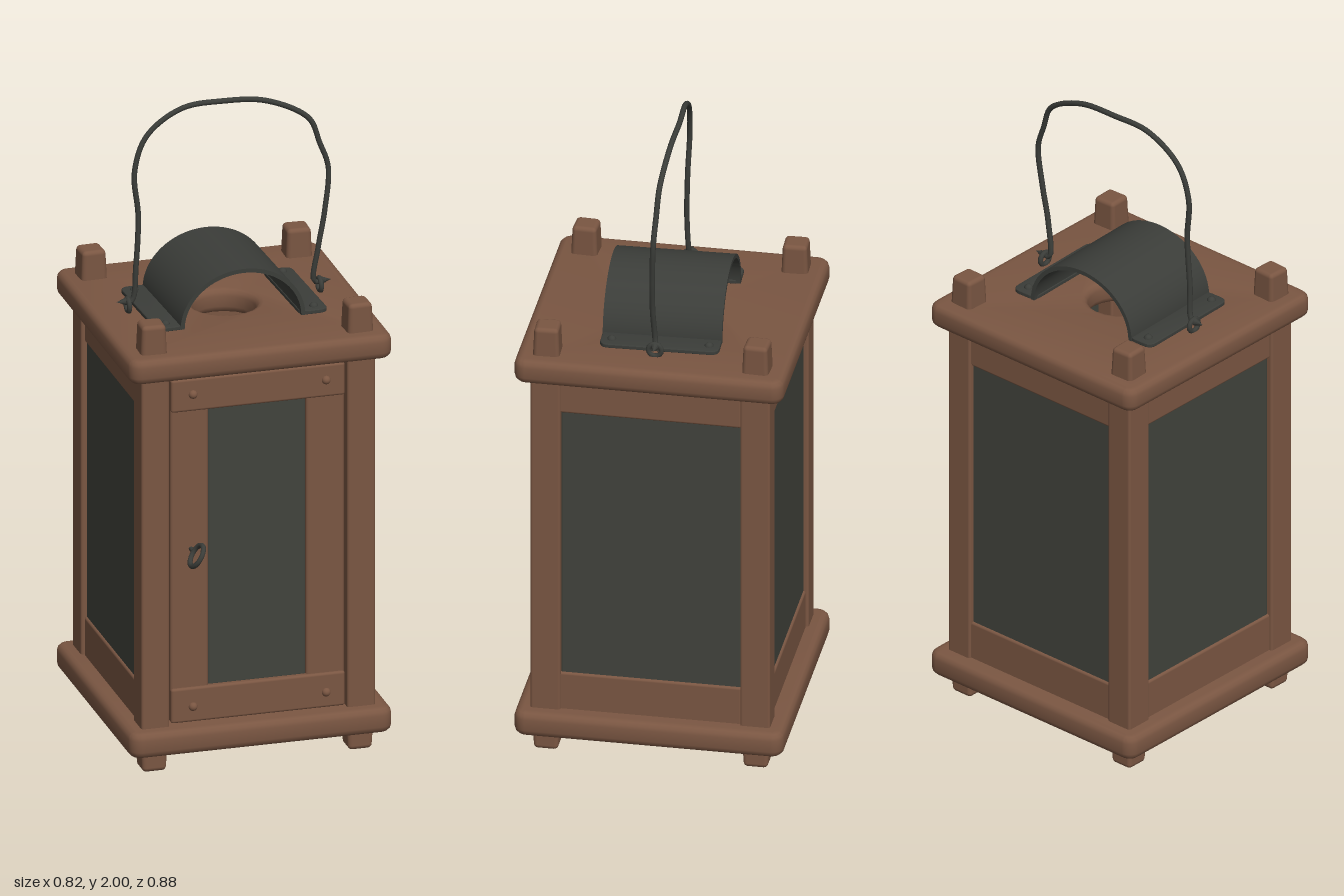
import * as THREE from 'three';
import { toCreasedNormals } from 'three/addons/utils/BufferGeometryUtils.js';
import { RoundedBoxGeometry } from 'three/addons/geometries/RoundedBoxGeometry.js';

const wood = new THREE.MeshStandardMaterial({ color: 0x7a5642 });
const glass = new THREE.MeshStandardMaterial({ color: 0x41433c });
const metal = new THREE.MeshStandardMaterial({ color: 0x3b3d39 });
wood.name = 'wood'; glass.name = 'dark glass'; metal.name = 'dark iron';

const CZ = -0.027; // centre of the lantern body in z

function add(parent, name, geometry, material, x = 0, y = 0, z = 0) {
  const mesh = new THREE.Mesh(geometry, material);
  mesh.name = name;
  mesh.position.set(x, y, z);
  parent.add(mesh);
  return mesh;
}

// Rounded box given by its limits
function block(parent, name, material, [x0, x1], [y0, y1], [z0, z1], r = 0.008) {
  const g = new RoundedBoxGeometry(x1 - x0, y1 - y0, z1 - z0, 2, r);
  return add(parent, name, g, material, (x0 + x1) / 2, (y0 + y1) / 2, (z0 + z1) / 2);
}

function roundedRect(w, h, r) {
  const s = new THREE.Shape(), x = w / 2, y = h / 2;
  s.moveTo(-x + r, -y);
  s.lineTo(x - r, -y); s.quadraticCurveTo(x, -y, x, -y + r);
  s.lineTo(x, y - r); s.quadraticCurveTo(x, y, x - r, y);
  s.lineTo(-x + r, y); s.quadraticCurveTo(-x, y, -x, y - r);
  s.lineTo(-x, -y + r); s.quadraticCurveTo(-x, -y, -x + r, -y);
  return s;
}

// Horizontal board with softened edges and an optional round hole
function board(w, thick, r, bevel, hole = 0) {
  const s = roundedRect(w[0] - 2 * bevel, w[1] - 2 * bevel, r);
  if (hole) s.holes.push(new THREE.Path().absarc(0, 0, hole, 0, Math.PI * 2, true));
  const g = new THREE.ExtrudeGeometry(s, {
    depth: thick - 2 * bevel, bevelEnabled: true, bevelSize: bevel,
    bevelThickness: bevel, bevelSegments: 3, curveSegments: 10,
  });
  g.translate(0, 0, -thick / 2 + bevel);
  g.rotateX(-Math.PI / 2);
  return toCreasedNormals(g, 0.7);
}

// Post end, narrowing away from the board (dir = 1 up, -1 down)
function pegGeometry(w, h, dir) {
  const g = new RoundedBoxGeometry(w, h, w, 2, 0.014);
  const p = g.attributes.position;
  for (let i = 0; i < p.count; i++) {
    const k = 0.94 - 0.12 * dir * p.getY(i) / h;
    p.setX(i, p.getX(i) * k);
    p.setZ(i, p.getZ(i) * k);
  }
  return g;
}

function rivet(parent, x, y, z, material, facingFront) {
  const g = new THREE.SphereGeometry(0.014, 12, 6, 0, Math.PI * 2, 0, Math.PI / 2);
  if (facingFront) g.rotateX(Math.PI / 2);
  add(parent, 'rivet', g, material, x, y, z);
}

function buildBody(root) {
  add(root, 'baseBoard', board([0.825, 0.825], 0.08, 0.02, 0.022), wood, 0, 0.105, CZ);
  add(root, 'topBoard', board([0.825, 0.825], 0.077, 0.02, 0.022, 0.12), wood, 0, 1.313, CZ);

  // Corner posts with their ends through both boards
  for (const sx of [-1, 1]) for (const sz of [-1, 1]) {
    const x = sx * 0.323, z = CZ + sz * 0.321;
    block(root, 'cornerPost', wood, [x - 0.044, x + 0.044], [0.13, 1.29], [z - 0.046, z + 0.046]);
    const top = add(root, 'postTop', pegGeometry(0.084, 0.12, 1), wood, x, 1.382, z);
    top.rotation.y = sx * sz * 0.04;
    add(root, 'postFoot', pegGeometry(0.084, 0.09, -1), wood, x, 0.045, z);
  }

  // Side walls
  for (const s of [-1, 1]) {
    const xs = s > 0 ? [0.325, 0.357] : [-0.357, -0.325];
    const xg = s > 0 ? [0.33, 0.35] : [-0.35, -0.33];
    block(root, 'sideLowerRail', wood, xs, [0.13, 0.268], [-0.305, 0.258]);
    block(root, 'sideUpperRail', wood, xs, [1.158, 1.285], [-0.305, 0.258]);
    block(root, 'sideGlass', glass, xg, [0.26, 1.165], [-0.305, 0.25]);
  }
  // Back wall
  block(root, 'backLowerRail', wood, [-0.285, 0.285], [0.13, 0.268], [-0.385, -0.35]);
  block(root, 'backUpperRail', wood, [-0.285, 0.285], [1.158, 1.285], [-0.385, -0.35]);
  block(root, 'backGlass', glass, [-0.285, 0.285], [0.26, 1.165], [-0.378, -0.358]);
}

function buildDoor(root) {
  const door = new THREE.Group();
  door.name = 'door';
  root.add(door);
  const z = [0.305, 0.338];
  block(door, 'doorStile', wood, [-0.276, -0.157], [0.155, 1.27], z);
  block(door, 'doorStile', wood, [0.15, 0.27], [0.155, 1.27], z);
  block(door, 'doorLowerRail', wood, [-0.276, 0.27], [0.155, 0.266], [0.31, 0.347]);
  block(door, 'doorUpperRail', wood, [-0.276, 0.27], [1.16, 1.265], [0.31, 0.347]);
  block(door, 'doorGlass', glass, [-0.158, 0.152], [0.26, 1.165], [0.312, 0.33]);
  for (const x of [-0.208, 0.21]) for (const y of [0.205, 1.215]) rivet(door, x, y, 0.346, wood, true);

  // Ring pull on a short pin
  const ring = add(door, 'ringPull', new THREE.TorusGeometry(0.035, 0.008, 8, 24), metal, -0.212, 0.713, 0.4);
  ring.rotation.order = 'ZYX';
  ring.rotation.set(0, Math.PI / 2, -0.55);
  const pin = new THREE.CylinderGeometry(0.007, 0.007, 0.04, 8).rotateX(Math.PI / 2);
  add(door, 'ringPin', pin, metal, -0.212, 0.713, 0.35);
}

function buildSmokeCover(root) {
  const cover = new THREE.Group();
  cover.name = 'smokeCover';
  cover.position.set(0, 1.351, CZ);
  cover.rotation.y = 0.033;
  root.add(cover);

  // Bent sheet arch
  const s = new THREE.Shape();
  s.absellipse(0, 0, 0.198, 0.173, 0, Math.PI, false);
  s.lineTo(-0.185, 0);
  s.absellipse(0, 0, 0.185, 0.16, Math.PI, 0, true);
  s.closePath();
  const g = new THREE.ExtrudeGeometry(s, { depth: 0.363, bevelEnabled: false, curveSegments: 24 });
  g.translate(0, 0, -0.1815);
  add(cover, 'archSheet', toCreasedNormals(g, 0.6), metal);

  // Flat flanges with rivets
  for (const sx of [-1, 1]) {
    add(cover, 'flange', board([0.09, 0.363], 0.013, 0.025, 0.003), metal, sx * 0.227, 0.006, 0);
    for (const sz of [-1, 1]) rivet(cover, sx * 0.235, 0.01, sz * 0.148, metal, false);
  }
}

function buildHandle(root) {
  const points = [
    [-0.318, 1.385, -0.03], [-0.29, 1.385, -0.028], [-0.278, 1.5, -0.022], [-0.27, 1.66, -0.025],
    [-0.28, 1.8, -0.03], [-0.24, 1.91, -0.036], [-0.13, 1.983, -0.044], [0, 1.991, -0.05],
    [0.14, 1.978, -0.046], [0.27, 1.91, -0.038], [0.302, 1.83, -0.034], [0.328, 1.75, -0.03],
    [0.315, 1.61, -0.024], [0.295, 1.5, -0.022], [0.284, 1.385, -0.028], [0.318, 1.385, -0.03],
  ].map((p) => new THREE.Vector3(...p));
  const wire = new THREE.CatmullRomCurve3(points, false, 'centripetal');
  add(root, 'carryHandle', new THREE.TubeGeometry(wire, 110, 0.0085, 8), metal);

  // Staples in the board and hooked wire ends
  for (const sx of [-1, 1]) {
    const staple = add(root, 'handleStaple', new THREE.TorusGeometry(0.02, 0.008, 8, 16), metal, sx * 0.301, 1.372, -0.03);
    staple.rotation.y = Math.PI / 2;
    const tip = add(root, 'handleTip', new THREE.ConeGeometry(0.012, 0.03, 8), metal, sx * 0.322, 1.385, -0.03);
    tip.rotation.z = -sx * Math.PI / 2;
  }
}

export function createModel() {
  const root = new THREE.Group();
  root.name = 'lantern';
  buildBody(root);
  buildDoor(root);
  buildSmokeCover(root);
  buildHandle(root);
  return root;
}
